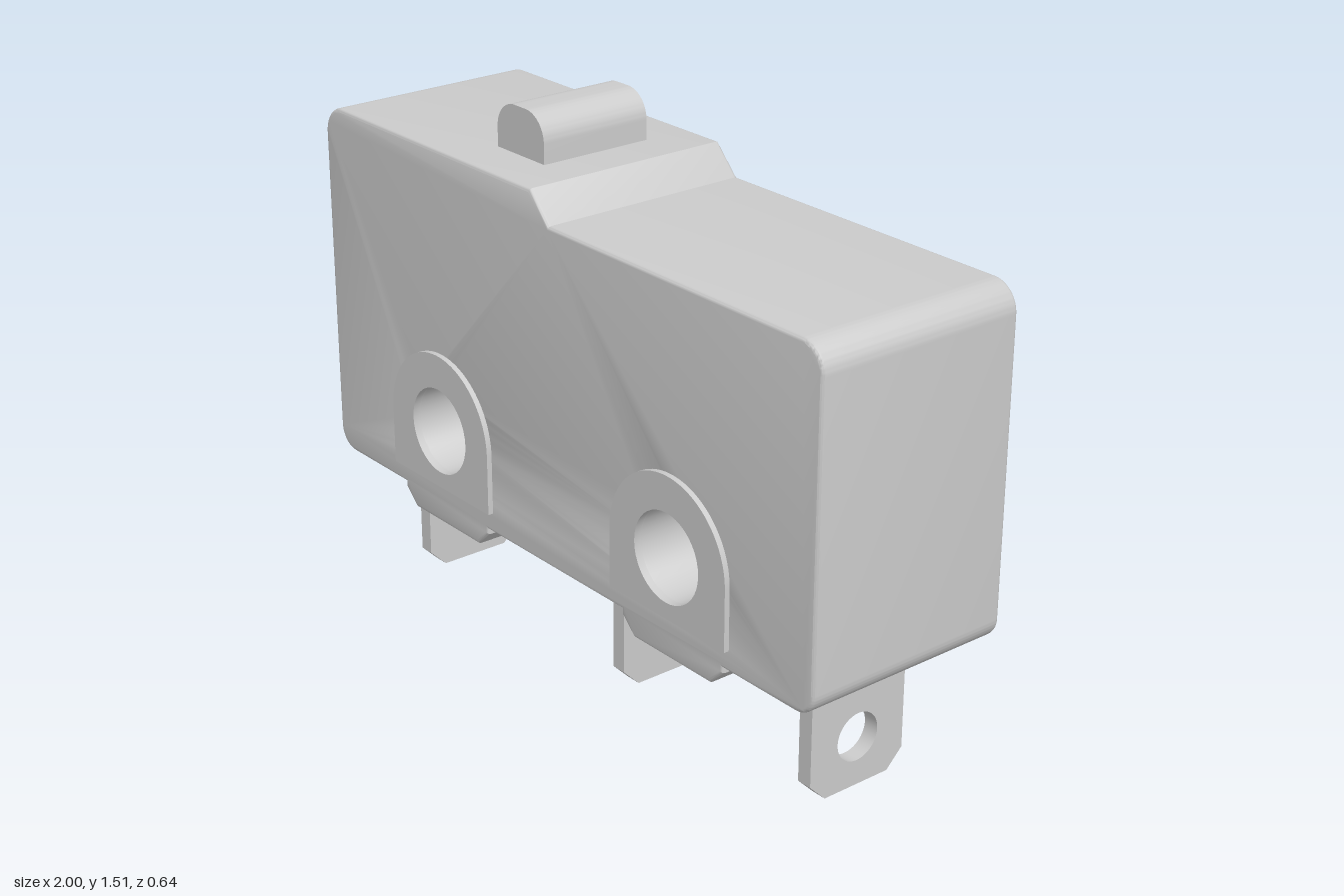
import * as THREE from 'three';
import { toCreasedNormals } from 'three/addons/utils/BufferGeometryUtils.js';

const HOLES = [-0.48, 0.48];
const HOLE_Y = 0.592;
const HOLE_R = 0.122;

// Closed outline from [x, y, cornerRadius] points, with optional rounded corners
function outline(points) {
  const shape = new THREE.Shape();
  const n = points.length;
  points.forEach(([x, y, r = 0], i) => {
    const p = new THREE.Vector2(x, y);
    const toward = (q) => new THREE.Vector2(q[0], q[1]).sub(p).normalize().multiplyScalar(r).add(p);
    const a = toward(points[(i + n - 1) % n]);
    const b = toward(points[(i + 1) % n]);
    if (i === 0) shape.moveTo(a.x, a.y);
    else shape.lineTo(a.x, a.y);
    if (r > 0) {
      // Cubic approximation of a quarter circle
      const k = 0.5523;
      const c1 = a.clone().lerp(p, k), c2 = b.clone().lerp(p, k);
      shape.bezierCurveTo(c1.x, c1.y, c2.x, c2.y, b.x, b.y);
    }
  });
  shape.closePath();
  return shape;
}

function addHole(shape, x, y, r) {
  shape.holes.push(new THREE.Path().absarc(x, y, r, 0, Math.PI * 2, true));
  return shape;
}

export function createModel() {
  const group = new THREE.Group();
  const material = new THREE.MeshStandardMaterial({ color: 0xcccccc });

  // Extrudes a shape from z0 to z1, optionally with a slightly rounded rim
  function extrude(name, shape, z0, z1, rim = 0) {
    const geometry = new THREE.ExtrudeGeometry(shape, {
      depth: z1 - z0 - 2 * rim, curveSegments: 20,
      bevelEnabled: rim > 0, bevelThickness: rim, bevelSize: rim, bevelOffset: -rim, bevelSegments: 3,
    });
    geometry.translate(0, 0, z0 + rim);
    const mesh = new THREE.Mesh(toCreasedNormals(geometry, 0.55), material);
    mesh.name = name;
    group.add(mesh);
    return mesh;
  }

  // Housing with stepped top, two feet and two mounting holes
  const foot = (x) => [
    [x - 0.195, 0.367], [x - 0.195, 0.352], [x - 0.147, 0.306],
    [x + 0.147, 0.306], [x + 0.195, 0.352], [x + 0.195, 0.367],
  ];
  const housing = outline([
    [-1, 0.367, 0.065], ...foot(-0.48), ...foot(0.483), [1, 0.367, 0.065],
    [1, 1.306, 0.075], [0.005, 1.306], [-0.07, 1.384], [-1, 1.384, 0.08],
  ]);
  HOLES.forEach((x) => addHole(housing, x, HOLE_Y, HOLE_R));
  extrude('housing', housing, -0.306, 0.306, 0.01);

  // Raised arched pads around the mounting holes, on both faces
  for (const x of HOLES) {
    const pad = new THREE.Shape();
    pad.moveTo(x - 0.22, 0.425);
    pad.lineTo(x + 0.22, 0.425);
    pad.absarc(x, HOLE_Y, 0.22, 0, Math.PI, false);
    pad.closePath();
    addHole(pad, x, HOLE_Y, HOLE_R);
    extrude('mountingPadFront', pad, 0.3, 0.321);
    extrude('mountingPadBack', pad, -0.321, -0.3);
  }

  // Push button with rounded top
  extrude('pushButton', outline([
    [-0.393, 1.36], [-0.195, 1.36], [-0.195, 1.513, 0.075], [-0.393, 1.513, 0.075],
  ]), -0.166, 0.166);

  // Three flat terminals with chamfered tips and a wire hole
  const blade = addHole(outline([
    [-0.155, 0.38], [-0.155, 0.05], [-0.105, 0], [0.105, 0], [0.155, 0.05], [0.155, 0.38],
  ]), 0, 0.137, 0.067);
  for (const x of [-0.812, 0.085, 0.815]) {
    const terminal = extrude('terminal', blade, -0.022, 0.022);
    terminal.rotation.y = Math.PI / 2;
    terminal.position.x = x;
  }

  return group;
}
